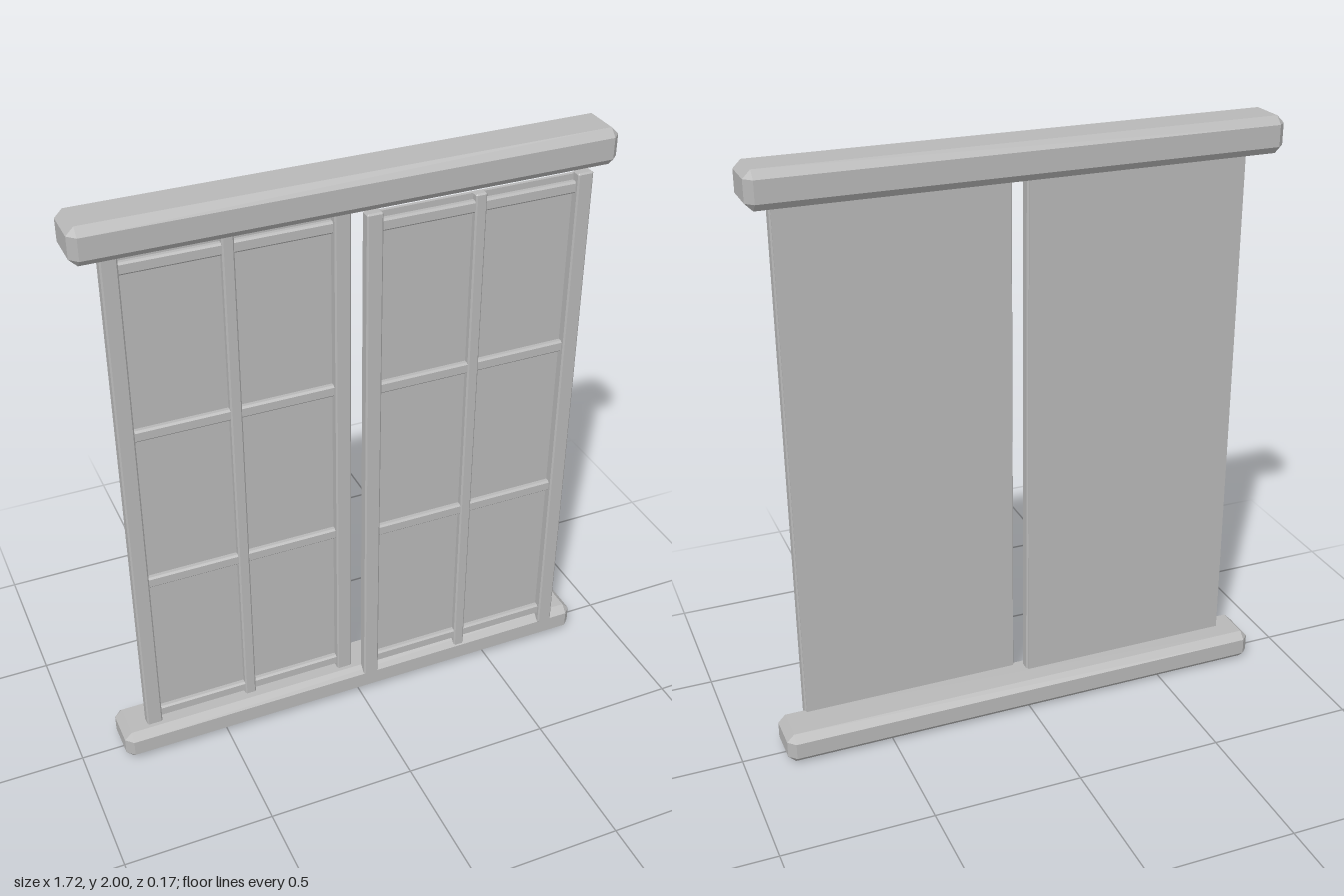
import * as THREE from 'three';
import { ConvexGeometry } from 'three/addons/geometries/ConvexGeometry.js';

const grey = new THREE.MeshStandardMaterial({ color: 0xb8b8b8 });
grey.name = 'plain grey';

// Box with every edge and corner cut flat, given by its min and max corners
function chamferBox(name, min, max, c) {
  const lo = new THREE.Vector3(...min), hi = new THREE.Vector3(...max);
  const mid = lo.clone().add(hi).multiplyScalar(0.5);
  const half = hi.clone().sub(lo).multiplyScalar(0.5);
  const points = [];
  for (const sx of [-1, 1]) for (const sy of [-1, 1]) for (const sz of [-1, 1]) {
    for (const cut of [[0, c, c], [c, 0, c], [c, c, 0]]) {
      points.push(new THREE.Vector3(
        sx * (half.x - cut[0]), sy * (half.y - cut[1]), sz * (half.z - cut[2])));
    }
  }
  const mesh = new THREE.Mesh(new ConvexGeometry(points), grey);
  mesh.name = name;
  mesh.position.copy(mid);
  return mesh;
}

// Sliding screen: thin sheet with a raised lattice on its front
function createScreen(name, x0, x1, z) {
  const screen = new THREE.Group();
  screen.name = name;
  const bottom = 0.08, top = 1.88, stile = 0.053;
  const centre = (x0 + x1) / 2;

  const sheet = new THREE.Mesh(new THREE.BoxGeometry(x1 - x0 - 0.01, 1.775, 0.012), grey);
  sheet.name = 'sheet';
  sheet.position.set(centre, 0.9825, z + 0.006);
  screen.add(sheet);

  // Side stiles
  for (const x of [x0, x1 - stile]) {
    screen.add(chamferBox('stile', [x, bottom, z + 0.004], [x + stile, top, z + 0.043], 0.005));
  }
  // Central upright
  screen.add(chamferBox('mullion',
    [centre - 0.019, bottom, z + 0.006], [centre + 0.019, 1.873, z + 0.034], 0.005));
  // Cross rails
  for (let i = 0; i < 4; i++) {
    const y = 0.135 + i * 0.565;
    screen.add(chamferBox('rail',
      [x0 + 0.03, y - 0.02, z + 0.006], [x1 - 0.03, y + 0.02, z + 0.03], 0.006));
  }
  return screen;
}

export function createModel() {
  const model = new THREE.Group();
  model.name = 'slidingScreens';
  // Sill and head beams
  model.add(chamferBox('bottomBeam', [-0.86, 0, -0.088], [0.86, 0.106, 0.082], 0.025));
  model.add(chamferBox('topBeam', [-0.86, 1.88, -0.088], [0.86, 2, 0.082], 0.025));
  // Two screens on separate tracks
  model.add(createScreen('rearScreen', -0.773, -0.018, 0));
  model.add(createScreen('frontScreen', 0.013, 0.768, 0.044));
  return model;
}
